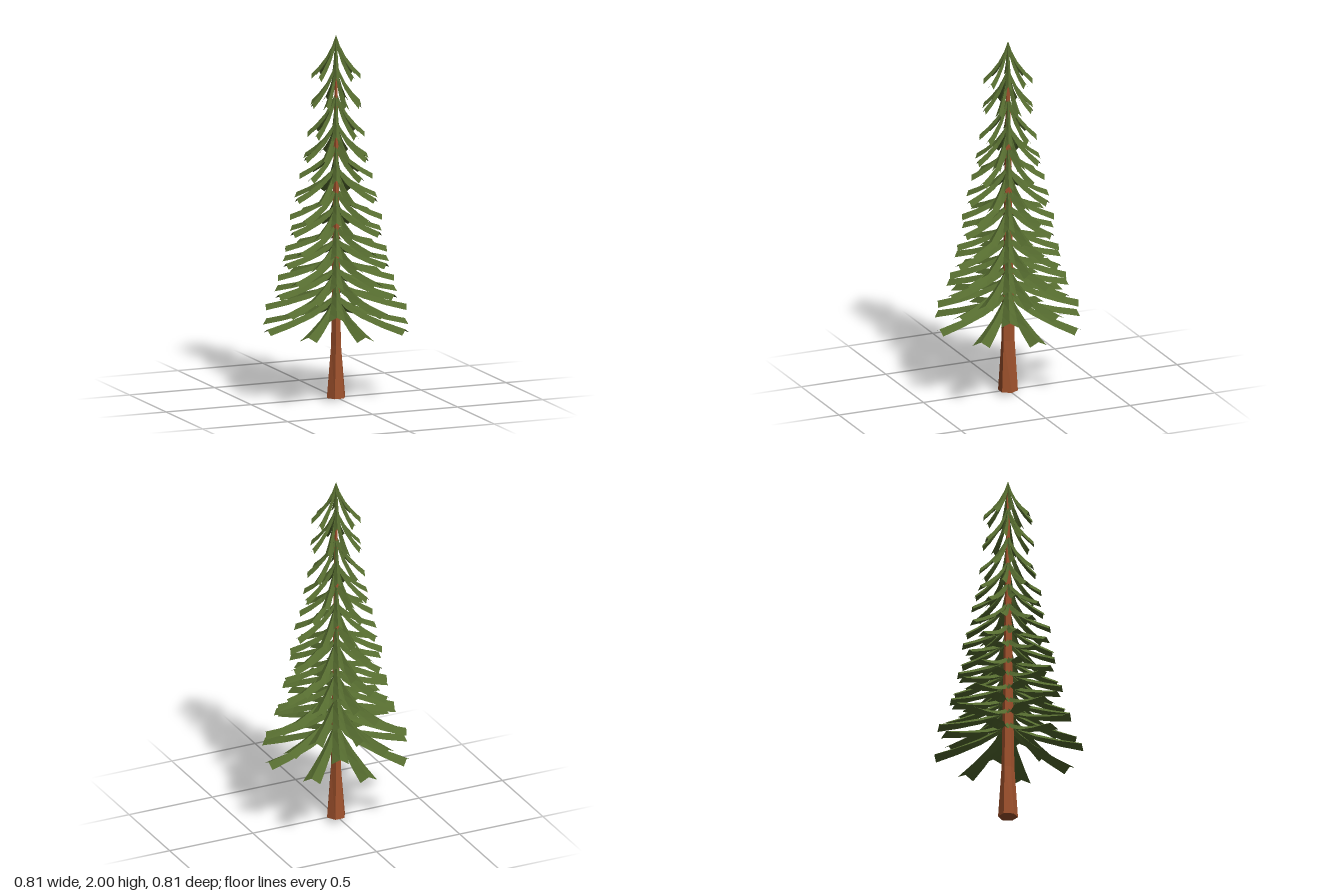
import * as THREE from 'three';

const bark = new THREE.MeshStandardMaterial({ color: 0xa0522d, flatShading: true });
const needles = new THREE.MeshStandardMaterial({ color: 0x556b2f, flatShading: true, side: THREE.DoubleSide });

// Each tier: [reach, height at the trunk, height of the ridge at the tip]
const TIERS = [
  [0.405, 0.57, 0.405], [0.38, 0.65, 0.515], [0.34, 0.72, 0.592], [0.314, 0.80, 0.675],
  [0.295, 0.88, 0.76], [0.274, 0.96, 0.835], [0.255, 1.07, 0.93], [0.248, 1.16, 1.01],
  [0.23, 1.29, 1.115], [0.197, 1.41, 1.235], [0.18, 1.54, 1.335], [0.155, 1.69, 1.465],
  [0.14, 1.86, 1.63], [0.133, 2.0, 1.785],
];
const BRANCHES = 8;

// Share of the reach and share of the drop along a drooping branch
const DROOP = [[0, 0], [0.15, 0.27], [0.38, 0.55], [0.7, 0.81], [1, 1]];

// Open, roof-shaped branch along +x: left edge, ridge, right edge at each station
function branchGeometry(reach, top, tip) {
  const tipHalf = 0.004 + 0.113 * reach;
  const positions = [], index = [];
  DROOP.forEach(([t, d], i) => {
    const x = reach * t, y = top + (tip - top) * d;
    const half = tipHalf * (0.3 + 0.7 * t) * (i ? 1 : 0.3);
    const fall = i ? 0.025 : 0.012;
    positions.push(x, y - fall, -half, x, y, 0, x, y - fall, half);
    if (i === 0) return;
    const b = i * 3, a = b - 3;
    for (let k = 0; k < 2; k++) {
      index.push(a + k, a + k + 1, b + k, a + k + 1, b + k + 1, b + k);
    }
  });
  const g = new THREE.BufferGeometry();
  g.setAttribute('position', new THREE.Float32BufferAttribute(positions, 3));
  g.setIndex(index);
  g.computeVertexNormals();
  return g;
}

// Six-sided trunk with a flared foot
function makeTrunk() {
  const rings = [[0, 0], [0.054, 0], [0.029, 0.29], [0.027, 0.42], [0.006, 1.93]];
  const g = new THREE.LatheGeometry(rings.map(([r, y]) => new THREE.Vector2(r, y)), 6, Math.PI / 2);
  // above the foot the trunk is a little deeper than wide
  const p = g.attributes.position;
  for (let i = 0; i < p.count; i++) {
    if (p.getY(i) > 0.1) p.setZ(i, p.getZ(i) * 1.3);
  }
  g.computeVertexNormals();
  const trunk = new THREE.Mesh(g, bark);
  trunk.name = 'trunk';
  return trunk;
}

export function createModel() {
  const tree = new THREE.Group();
  tree.name = 'pineTree';
  tree.add(makeTrunk());

  // Tiers of branches, every other one turned by half a step
  TIERS.forEach(([reach, top, tip], n) => {
    const tier = new THREE.Group();
    tier.name = `branchTier${n + 1}`;
    const geometry = branchGeometry(reach, top, tip);
    for (let i = 0; i < BRANCHES; i++) {
      const branch = new THREE.Mesh(geometry, needles);
      branch.name = 'branch';
      branch.rotation.y = ((i + (n % 2) / 2) / BRANCHES) * Math.PI * 2;
      tier.add(branch);
    }
    tree.add(tier);
  });
  return tree;
}
